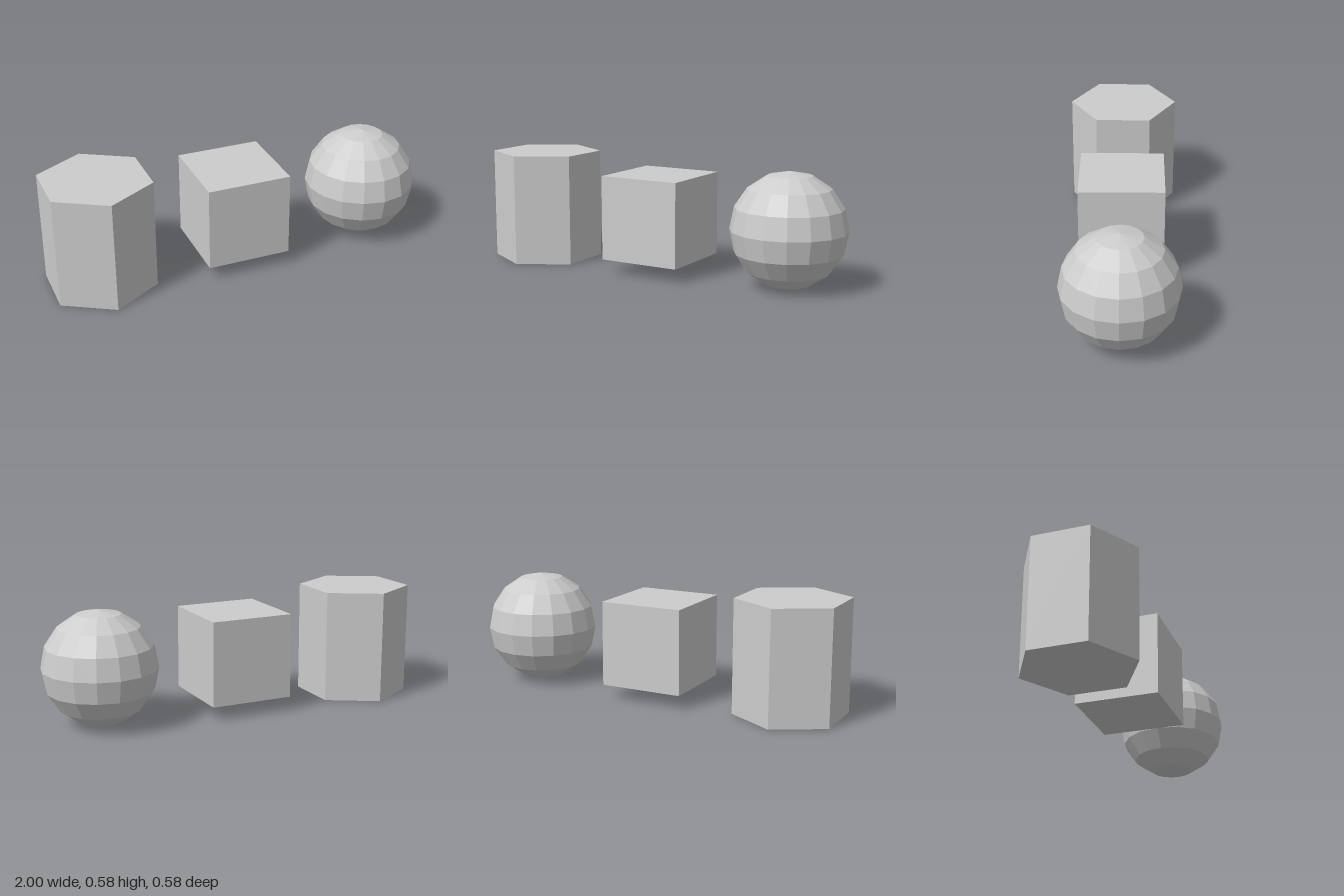
import * as THREE from 'three';

export function createModel() {
  const model = new THREE.Group();
  model.name = 'primitiveSolids';

  const grey = new THREE.MeshStandardMaterial({ color: 0xcccccc, flatShading: true });
  grey.name = 'light grey';

  const radius = 0.291; // shared by the prism and the ball
  const cubeSide = 0.436;

  const add = (name, geometry, x) => {
    const mesh = new THREE.Mesh(geometry, grey);
    mesh.name = name;
    mesh.position.set(x, radius, 0);
    model.add(mesh);
  };

  // Three solids in a row, all centred at the same height
  add('hexagonalPrism', new THREE.CylinderGeometry(radius, radius, radius * 2, 6), -0.748);
  add('cube', new THREE.BoxGeometry(cubeSide, cubeSide, cubeSide), -0.022);
  add('facetedBall', new THREE.SphereGeometry(radius, 16, 8), 0.709);

  return model;
}
